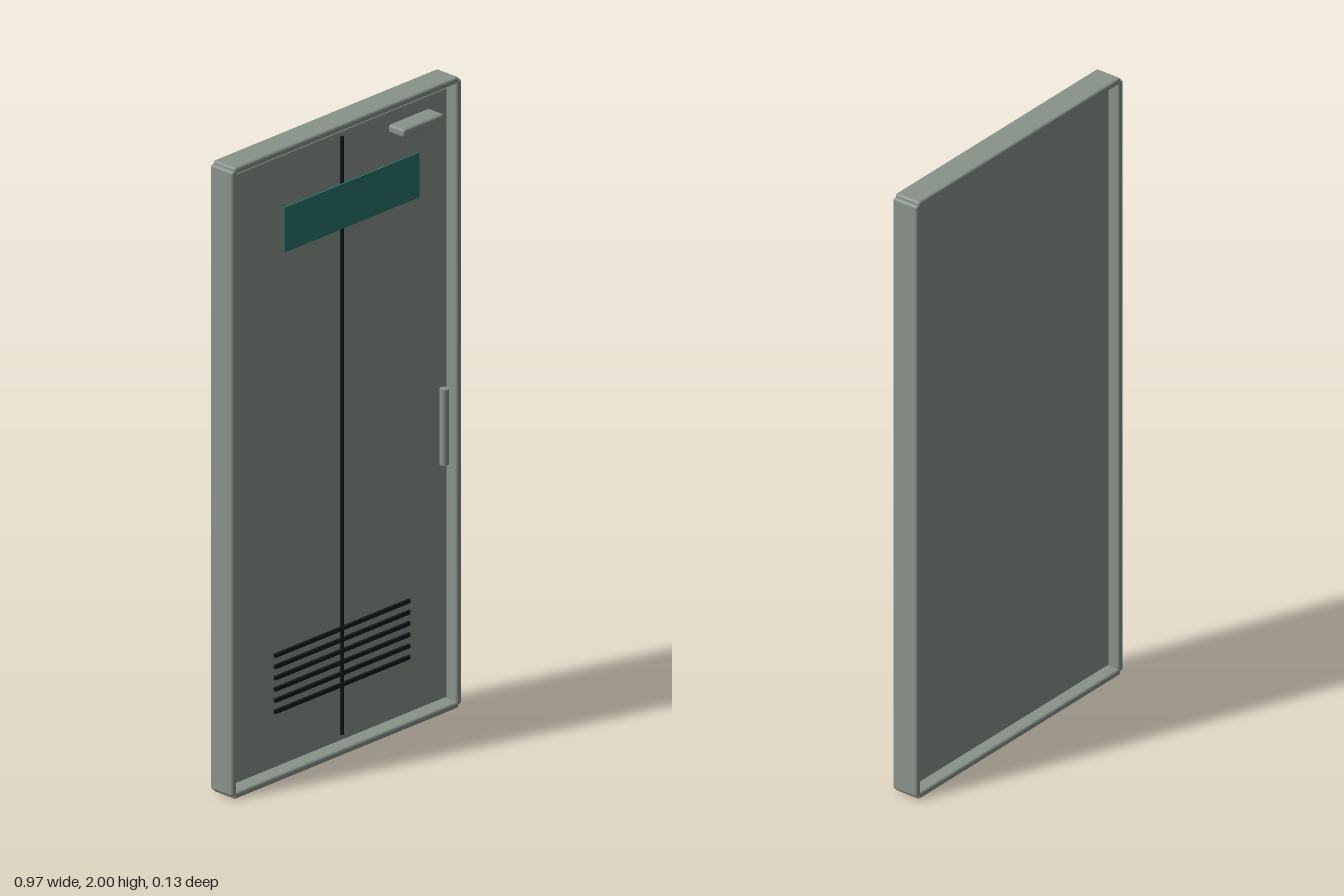
import * as THREE from 'three';
import { RoundedBoxGeometry } from 'three/addons/geometries/RoundedBoxGeometry.js';

export function createModel() {
  const group = new THREE.Group();
  const mat = (name, color) => {
    const m = new THREE.MeshStandardMaterial({ color });
    m.name = name;
    return m;
  };
  const metal = mat('greyGreenMetal', 0x89938a);
  const glass = mat('tealGlass', 0x2a736a);
  const dark = mat('darkSlot', 0x12191d);

  const add = (name, geometry, material, x, y, z) => {
    const mesh = new THREE.Mesh(geometry, material);
    mesh.name = name;
    mesh.position.set(x, y, z);
    group.add(mesh);
  };
  const rounded = (w, h, d, r) => new RoundedBoxGeometry(w, h, d, 3, r);
  const box = (w, h, d) => new THREE.BoxGeometry(w, h, d);

  // Frame: two jambs, header and sill around a see-through gap
  for (const [side, name] of [[1, 'leftJamb'], [-1, 'rightJamb']]) {
    add(name, rounded(0.021, 1.98, 0.09, 0.008), metal, side * 0.4745, 1, -0.021);
  }
  add('header', rounded(0.948, 0.021, 0.09, 0.008), metal, 0, 1.9895, -0.021);
  add('sill', rounded(0.948, 0.021, 0.09, 0.008), metal, 0, 0.0105, -0.021);

  // Recessed door leaf
  add('doorLeaf', rounded(0.898, 1.932, 0.042, 0.006), metal, 0, 1.001, -0.021);

  // Centre seam and ventilation slots
  add('centreSeam', box(0.01, 1.895, 0.006), dark, 0, 1.0025, 0.003);
  for (let i = 0; i < 6; i++) {
    add('ventSlot', box(0.57, 0.012, 0.008), dark, 0, 0.214 + i * 0.0356, 0.004);
  }

  // Vision panel standing off the leaf
  add('visionPanel', box(0.57, 0.142, 0.005), glass, 0, 1.752, 0.041);

  // Pull handle and door closer
  add('pullHandle', new THREE.CylinderGeometry(0.0135, 0.0135, 0.24, 20), metal, 0.392, 0.922, 0.041);
  add('doorCloser', rounded(0.172, 0.027, 0.064, 0.008), metal, 0.283, 1.913, 0.032);

  return group;
}
